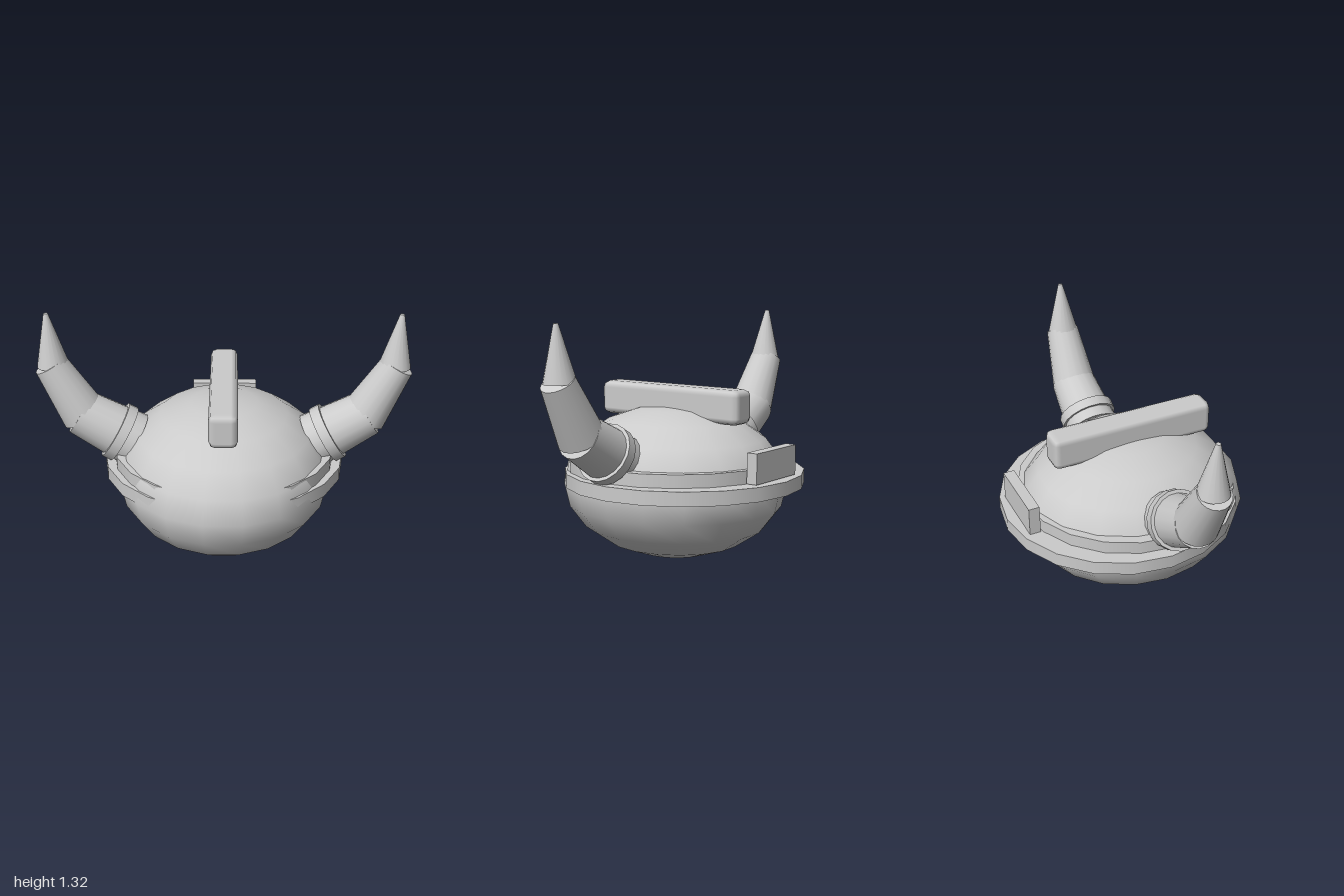
import * as THREE from 'three';
import { RoundedBoxGeometry } from 'three/addons/geometries/RoundedBoxGeometry.js';

const material = new THREE.MeshStandardMaterial({ color: 0xcccccc });
const CENTRE_Z = 0.05;

function addPart(parent, name, geometry, x = 0, y = 0, z = 0) {
  const mesh = new THREE.Mesh(geometry, material);
  mesh.name = name;
  mesh.position.set(x, y, z);
  parent.add(mesh);
  return mesh;
}

// Tapered cylinder running from point a to point b (x, y), in the horn plane
function addTaper(parent, name, a, b, r0, r1) {
  const from = new THREE.Vector3(a[0], a[1], CENTRE_Z);
  const to = new THREE.Vector3(b[0], b[1], CENTRE_Z);
  const dir = to.clone().sub(from);
  const mesh = addPart(parent, name, new THREE.CylinderGeometry(r1, r0, dir.length(), 18));
  mesh.position.copy(from).add(to).multiplyScalar(0.5);
  mesh.quaternion.setFromUnitVectors(new THREE.Vector3(0, 1, 0), dir.normalize());
}

function createHorn(name, side) {
  const horn = new THREE.Group();
  horn.name = name;
  const p = (x, y) => [side * x, y];
  addTaper(horn, 'hornCollar', p(0.54, 0.627), p(0.588, 0.655), 0.16, 0.16);
  addTaper(horn, 'hornBase', p(0.485, 0.595), p(0.775, 0.763), 0.15, 0.125);
  addTaper(horn, 'hornMiddle', p(0.752, 0.748), p(0.917, 1.04), 0.125, 0.09);
  addTaper(horn, 'hornTip', p(0.901, 1.035), p(0.923, 1.323), 0.085, 0.012);
  return horn;
}

export function createModel() {
  const model = new THREE.Group();
  model.name = 'hornedHead';

  // Flattened ball forming the head and dome
  const head = new THREE.SphereGeometry(1, 18, 10).scale(0.585, 0.418, 0.635);
  addPart(model, 'head', head, 0, 0.423, CENTRE_Z);

  // Two stacked bands, set back so they sink into the head at the front
  addPart(model, 'lowerBand', new THREE.CylinderGeometry(0.655, 0.655, 0.075, 20), 0, 0.458, -0.02);
  addPart(model, 'upperBand', new THREE.CylinderGeometry(0.597, 0.597, 0.07, 20), 0, 0.53, 0.027);

  // Plate standing on the back of the band
  addPart(model, 'backPlate', new THREE.BoxGeometry(0.37, 0.16, 0.06), 0, 0.58, -0.585);

  // Bevelled ridge along the crown
  addPart(model, 'crest', new RoundedBoxGeometry(0.15, 0.185, 0.925, 1, 0.035), 0, 0.858, 0.048);

  // Mirrored pair of horns
  model.add(createHorn('leftHorn', 1), createHorn('rightHorn', -1));
  return model;
}
